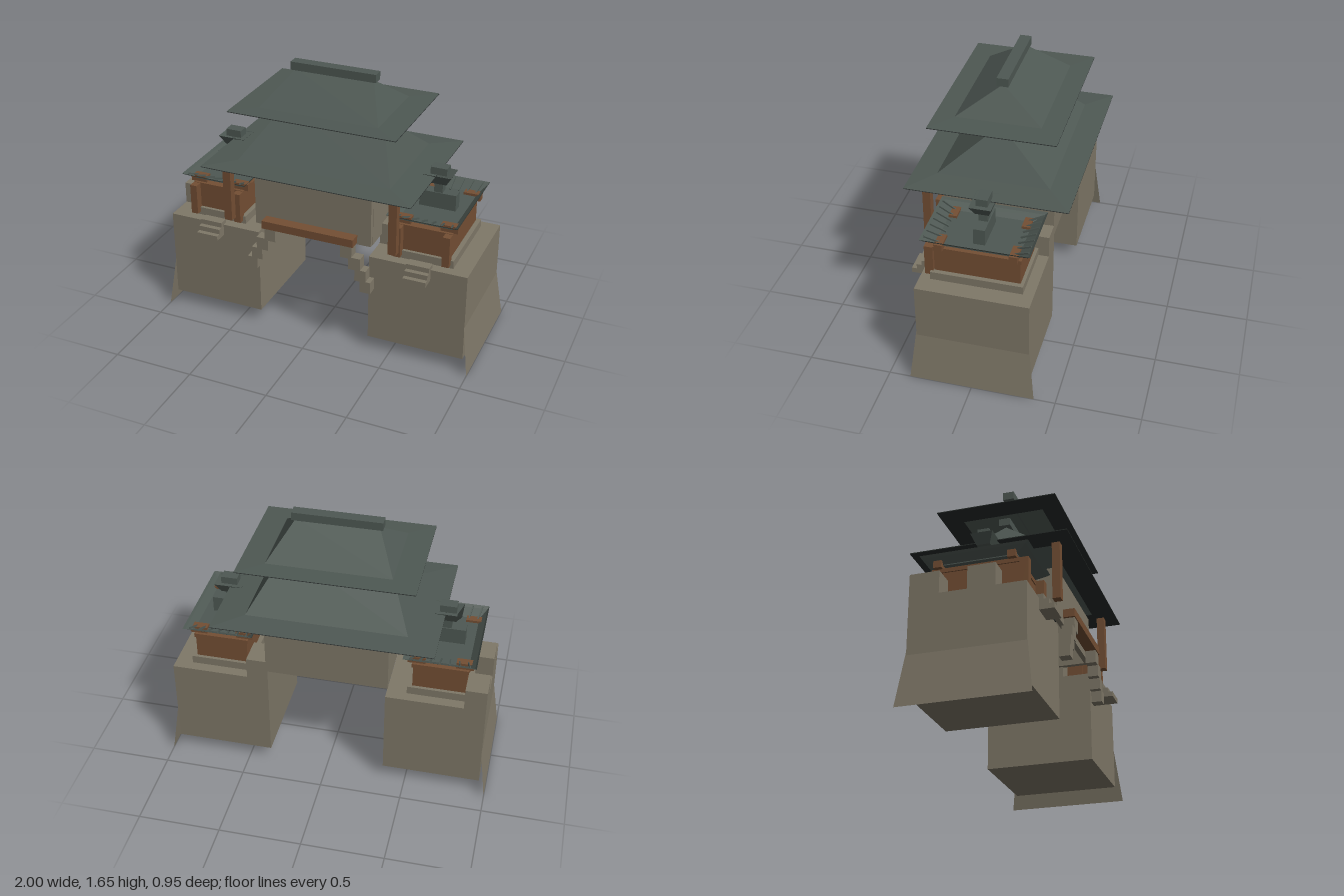
import * as THREE from 'three';

const mat = (name, color, side = THREE.FrontSide) => {
  const m = new THREE.MeshStandardMaterial({ color, side, flatShading: true });
  m.name = name;
  return m;
};

export function createModel() {
  const model = new THREE.Group();
  model.name = 'fortressGate';
  const stone = mat('stone', 0x7f7868, THREE.DoubleSide);
  const wood = mat('wood', 0x744f34);
  const tile = mat('roofTile', 0x4e5853, THREE.DoubleSide);
  const dark = mat('darkSoffit', 0x272b2a, THREE.DoubleSide);

  // Box given by its minimum and maximum on each axis
  function box(parent, name, m, x0, x1, y0, y1, z0, z1) {
    const mesh = new THREE.Mesh(new THREE.BoxGeometry(Math.abs(x1 - x0), y1 - y0, z1 - z0), m);
    mesh.position.set((x0 + x1) / 2, (y0 + y1) / 2, (z0 + z1) / 2);
    mesh.name = name;
    parent.add(mesh);
    return mesh;
  }

  // Open surface through rectangular rings [halfX, halfZ, y]
  function loft(parent, name, m, rings) {
    const signs = [[-1, -1], [1, -1], [1, 1], [-1, 1]];
    const pos = [];
    const point = (r, i) => [signs[i % 4][0] * r[0], r[2], signs[i % 4][1] * r[1]];
    for (let k = 0; k + 1 < rings.length; k++) {
      for (let i = 0; i < 4; i++) {
        const a = point(rings[k], i), b = point(rings[k], i + 1);
        const d = point(rings[k + 1], i), c = point(rings[k + 1], i + 1);
        pos.push(...a, ...d, ...c, ...a, ...c, ...b);
      }
    }
    const g = new THREE.BufferGeometry();
    g.setAttribute('position', new THREE.Float32BufferAttribute(pos, 3));
    g.computeVertexNormals();
    const mesh = new THREE.Mesh(g, m);
    mesh.name = name;
    parent.add(mesh);
    return mesh;
  }

  // Stone towers, each with a flared outer skirt
  for (const s of [-1, 1]) {
    box(model, 'tower', stone, s * 0.36, s * 0.96, 0.085, 0.645, -0.333, 0.333);
    const skirt = new THREE.BufferGeometry();
    const a = [s * 0.955, 0.34, 0.333], b = [s * 0.955, 0.34, -0.333];
    const c = [s * 1.0, 0, -0.373], d = [s * 1.0, 0, 0.373];
    const quad = s > 0 ? [a, d, c, a, c, b] : [a, c, d, a, b, c];
    skirt.setAttribute('position', new THREE.Float32BufferAttribute(quad.flat(), 3));
    skirt.computeVertexNormals();
    const mesh = new THREE.Mesh(skirt, stone);
    mesh.name = 'flaredSkirt';
    model.add(mesh);
  }

  // Merlons sit on the same edge of both towers
  for (const x of [-0.96, 0.36]) {
    box(model, 'merlon', stone, x, x + 0.13, 0.645, 0.78, -0.333, -0.16);
    box(model, 'merlon', stone, x, x + 0.11, 0.645, 0.78, 0, 0.16);
  }

  // Hollow gate storey bridging the towers
  for (const s of [-1, 1]) {
    const z = s * 0.318;
    box(model, 'gateWall', stone, -0.374, 0.37, 0.71, 1.02, z - 0.015, z + 0.015);
    const x = s * 0.357;
    box(model, 'gateSideWall', stone, x - 0.015, x + 0.015, 0.71, 1.02, -0.303, 0.303);
  }

  // Front lintel on stepped corbels
  box(model, 'lintel', wood, -0.295, 0.29, 0.73, 0.78, 0.345, 0.415);
  const corbels = [[0.335, 0.4, 0.44, 0.515], [0.3, 0.37, 0.51, 0.585],
    [0.26, 0.335, 0.58, 0.66], [0.21, 0.28, 0.65, 0.73]];
  for (const s of [-1, 1]) {
    for (const [x0, x1, y0, y1] of corbels) {
      box(model, 'corbel', stone, s * x0, s * x1, y0, y1, 0.345, 0.41);
    }
  }

  // Two tiers of main roof: hip, nearly flat eaves, dark soffit and ridge beam
  function roof(name, eave, base, ridge, beam) {
    const g = new THREE.Group();
    g.name = name;
    loft(g, 'eavesAndHip', tile, [eave, base, ridge]);
    const lower = ([x, z, y]) => [x, z, y - 0.005];
    loft(g, 'soffit', dark, [lower(eave), lower(base)]);
    box(g, 'ridgeBeam', tile, -beam[0], beam[0], beam[1], beam[2], -0.034, 0.034);
    model.add(g);
  }
  roof('lowerRoof', [0.655, 0.475, 1.098], [0.48, 0.33, 1.11], [0.31, 0.004, 1.378], [0.34, 1.378, 1.425]);
  roof('upperRoof', [0.52, 0.37, 1.43], [0.37, 0.25, 1.433], [0.245, 0.004, 1.605], [0.268, 1.605, 1.655]);

  // Guard house standing on each tower, centred on x = s * 0.667
  for (const s of [-1, 1]) {
    const house = new THREE.Group();
    house.name = 'guardHouse';
    house.position.x = s * 0.667;
    model.add(house);
    box(house, 'plinth', stone, -0.188, 0.188, 0.645, 0.695, -0.27, 0.27);
    box(house, 'body', wood, -0.16, 0.16, 0.695, 0.855, -0.25, 0.25);
    box(house, 'topRail', wood, -0.168, 0.168, 0.835, 0.86, -0.256, 0.256);
    for (const t of [-1, 1]) {
      const x = t * 0.148;
      box(house, 'cornerPost', wood, x - 0.022, x + 0.022, 0.665, 0.857, 0.255, 0.305);
      for (const u of [-1, 1]) {
        const z = u * 0.215;
        box(house, 'roofBracket', wood, t * 0.09, t * 0.195, 0.857, 0.9, z - 0.024, z + 0.024);
      }
    }

    // Upturned dish roof with tile ribs
    loft(house, 'dishRoof', tile, [[0.165, 0.24, 0.885], [0.205, 0.3, 0.92], [0.215, 0.316, 0.933]]);
    box(house, 'dishFloor', tile, -0.165, 0.165, 0.879, 0.885, -0.24, 0.24);
    for (const u of [-1, 1]) {
      for (let i = 0; i < 7; i++) {
        const x = -0.165 + i * 0.055;
        const rib = box(house, 'tileRib', tile, x - 0.004, x + 0.004, 0.907, 0.917, u * 0.255 - 0.05, u * 0.255 + 0.05);
        rib.rotation.x = -u * 0.42;
        rib.rotation.y = u * x * 1.2;
      }
    }

    // Stacked finial
    box(house, 'finialBase', tile, -0.112, 0.112, 0.885, 0.985, -0.034, 0.034);
    box(house, 'finialStem', tile, -0.026, 0.026, 0.985, 1.05, -0.027, 0.027);
    loft(house, 'finialDish', tile, [[0.05, 0.04, 1.045], [0.086, 0.066, 1.105]]);
    box(house, 'finialDishFloor', tile, -0.05, 0.05, 1.045, 1.05, -0.04, 0.04);
    box(house, 'finialCap', tile, -0.05, 0.05, 1.1, 1.145, -0.034, 0.034);

    // Tall post beside the gate
    const px = s * 0.525;
    box(model, 'tallPost', wood, px - 0.025, px + 0.025, 0.73, 1.085, 0.355, 0.402);

    // Steps up the tower front
    for (let i = 0; i < 3; i++) {
      box(model, 'step', stone, s * 0.6, s * 0.74, 0.575 + i * 0.031, 0.606 + i * 0.031, 0.3, 0.42 - i * 0.03);
    }
  }
  return model;
}
